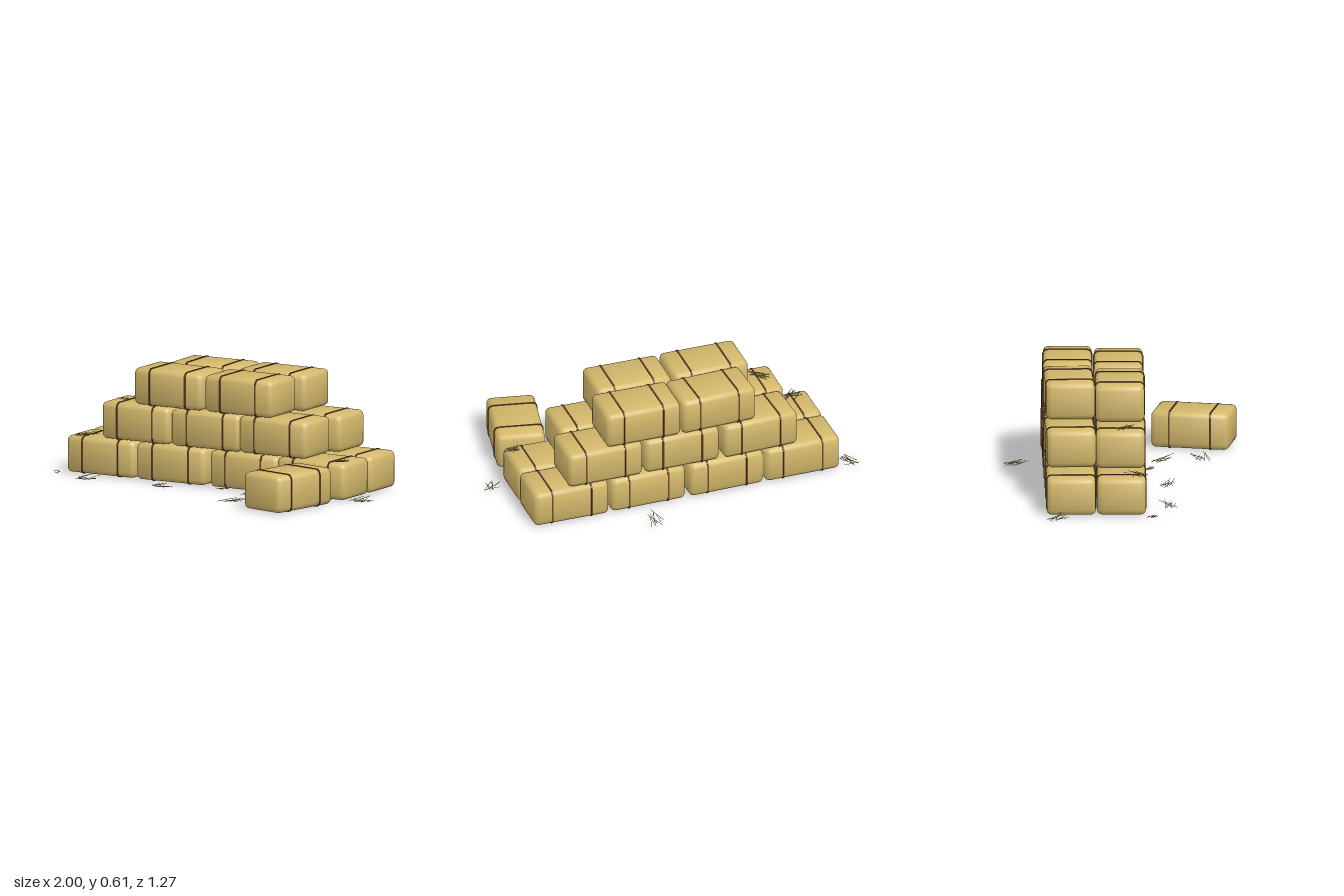
import * as THREE from 'three';
import { RoundedBoxGeometry } from 'three/addons/geometries/RoundedBoxGeometry.js';
import { mergeVertices, mergeGeometries } from 'three/addons/utils/BufferGeometryUtils.js';

const L = 0.426, H = 0.2, D = 0.263, R = 0.028;

// Small seeded generator for the loose straw
function seeded(seed) {
  let s = seed;
  return () => (s = (s * 16807) % 2147483647) / 2147483647;
}

function roundedRect(PathType, w, h, r) {
  const p = new PathType(), x = w / 2, y = h / 2;
  p.absarc(x - r, y - r, r, 0, Math.PI / 2);
  p.absarc(-x + r, y - r, r, Math.PI / 2, Math.PI);
  p.absarc(-x + r, -y + r, r, Math.PI, Math.PI * 1.5);
  p.absarc(x - r, -y + r, r, Math.PI * 1.5, Math.PI * 2);
  p.closePath();
  return p;
}

// Stuffed block: welded, with normals leaning outwards towards the corners
function baleGeometry() {
  const g = new RoundedBoxGeometry(L, H, D, 3, R);
  g.deleteAttribute('normal');
  g.deleteAttribute('uv');
  const welded = mergeVertices(g, 1e-4);
  welded.computeVertexNormals();
  const pos = welded.attributes.position, nor = welded.attributes.normal;
  const n = new THREE.Vector3(), p = new THREE.Vector3();
  const lean = new THREE.Vector3(1 / L, 1 / H, 1 / D);
  for (let i = 0; i < pos.count; i++) {
    p.fromBufferAttribute(pos, i).multiply(lean);
    n.fromBufferAttribute(nor, i).add(p).normalize();
    nor.setXYZ(i, n.x, n.y, n.z);
  }
  return welded;
}

// Twine loop around the bale's cross-section
function twineGeometry() {
  const shape = roundedRect(THREE.Shape, D + 0.008, H + 0.007, R + 0.003);
  shape.holes.push(roundedRect(THREE.Path, D - 0.006, H - 0.006, R - 0.003));
  const g = new THREE.ExtrudeGeometry(shape, { depth: 0.008, bevelEnabled: false, curveSegments: 5 });
  return g.translate(0, 0, -0.004).rotateY(Math.PI / 2);
}

export function createModel() {
  const hay = new THREE.MeshStandardMaterial({ name: 'hay', color: 0xd4b96c });
  const twineMat = new THREE.MeshStandardMaterial({ name: 'twine', color: 0x70442a });
  const strawMat = new THREE.MeshStandardMaterial({ name: 'straw', color: 0xc8aa58 });
  const model = new THREE.Group();
  model.name = 'hayBaleStack';
  const block = baleGeometry(), loop = twineGeometry();

  function addBale(name, x, y, z, turn) {
    const bale = new THREE.Group();
    bale.name = name;
    const body = new THREE.Mesh(block, hay);
    body.name = 'baleBody';
    bale.add(body);
    for (const side of [-1, 1]) {
      const twine = new THREE.Mesh(loop, twineMat);
      twine.name = 'twine';
      twine.position.x = side * 0.112;
      bale.add(twine);
    }
    bale.position.set(x, y, z);
    bale.rotation.y = turn;
    model.add(bale);
  }

  // Stacked layers: [x, turn] for each bale of the front and back rows
  const layers = [
    { front: [[-0.662, -0.01], [-0.225, 0.01], [0.235, -0.01], [0.657, -0.02]],
      back: [[-0.662, 0], [-0.225, 0.01], [0.225, 0], [0.664, -0.02]] },
    { front: [[-0.443, -0.02], [-0.008, 0.01], [0.417, -0.015]],
      back: [[-0.418, 0.03], [0.03, 0], [0.47, -0.01]] },
    { front: [[-0.24, -0.015], [0.202, -0.02]],
      back: [[-0.178, 0.03], [0.25, -0.015]] },
  ];
  layers.forEach((layer, i) => {
    for (const [row, z] of [['front', -0.023], ['back', -0.296]]) {
      layer[row].forEach(([x, turn], j) =>
        addBale(`${row}Bale${i + 1}_${j + 1}`, x, 0.104 + i * 0.204, z, turn));
    }
  });

  // Single bale lying in front of the stack
  addBale('looseBale', 0.685, 0.104, 0.395, 1.357);

  // Tufts of loose straw: x, base height, z, spread, heading
  const tufts = [
    [-0.94, 0, -0.37, 0.065, 1.0], [0.25, 0, -0.57, 0.065, 1.4], [-0.91, 0, 0.14, 0.03, 1.5],
    [-0.66, 0, 0.24, 0.07, -0.2], [-0.21, 0, 0.24, 0.07, 0.4], [0.13, 0, 0.15, 0.035, 0.8],
    [0.33, 0, 0.22, 0.07, 1.1], [0.36, 0, 0.43, 0.075, -0.3], [0.94, 0, 0.07, 0.07, -1.1],
    [-0.77, 0.206, 0.06, 0.075, -0.5], [-0.56, 0.41, 0, 0.07, 0.9], [0.82, 0.206, 0.06, 0.055, -0.6],
  ];
  const rand = seeded(4711);
  const up = new THREE.Vector3(0, 1, 0);
  tufts.forEach(([x, y, z, spread, heading], t) => {
    const stalks = [];
    for (let i = 0; i < 8; i++) {
      const a = heading + (rand() - 0.5) * 1.5;
      const len = spread * (1 + rand() * 0.6);
      const lift = y > 0 ? 0.05 : rand() * 0.3;
      const dir = new THREE.Vector3(Math.cos(a), lift, Math.sin(a)).normalize();
      const g = new THREE.CylinderGeometry(0.0012, 0.0016, len, 3);
      g.applyQuaternion(new THREE.Quaternion().setFromUnitVectors(up, dir));
      g.translate((rand() - 0.5) * spread * 0.8,
        0.003 + dir.y * len / 2 + rand() * 0.004,
        (rand() - 0.5) * spread * 0.8);
      stalks.push(g);
    }
    const tuft = new THREE.Mesh(mergeGeometries(stalks), strawMat);
    tuft.name = `strawTuft${t + 1}`;
    tuft.position.set(x, y, z);
    model.add(tuft);
  });

  // Long stray stalks at both ends of the stack
  for (const [x, z] of [[-0.955, -0.4], [0.955, 0.04]]) {
    const stalk = new THREE.Mesh(new THREE.CylinderGeometry(0.0014, 0.0014, 0.09, 3), strawMat);
    stalk.name = 'strayStalk';
    stalk.rotation.z = Math.PI / 2;
    stalk.position.set(x, 0.003, z);
    model.add(stalk);
  }
  return model;
}
